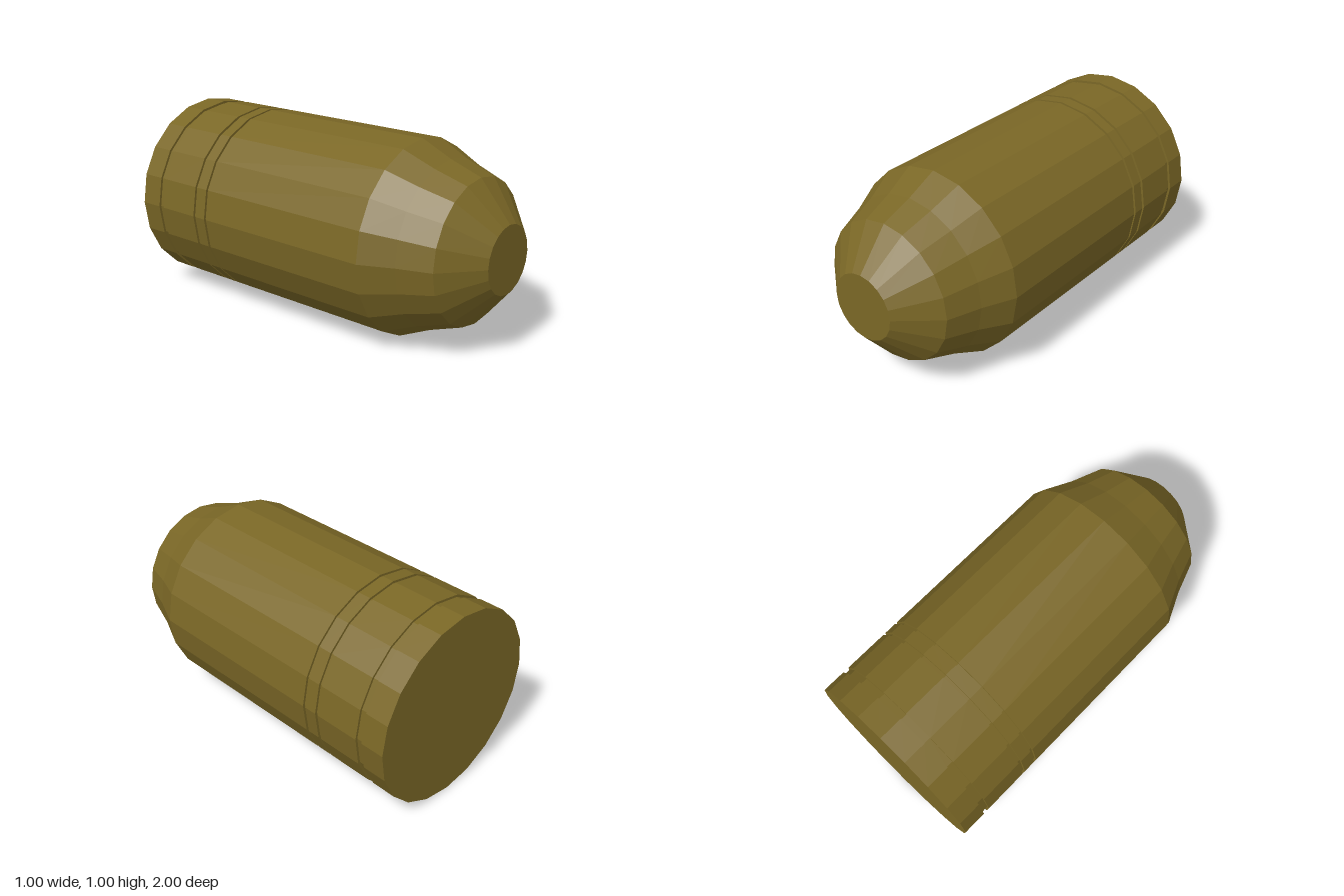
import * as THREE from 'three';

const SIDES = 20;

export function createModel() {
  const group = new THREE.Group();
  group.name = 'bullet';
  const brass = new THREE.MeshStandardMaterial({ color: 0x7a6726, flatShading: true });
  brass.name = 'dark brass';

  // Turns a [radius, z] profile, listed from back to front, around the long axis
  function turned(name, profile) {
    const points = profile.map(([r, z]) => new THREE.Vector2(r, z));
    const geometry = new THREE.LatheGeometry(points, SIDES);
    geometry.rotateX(Math.PI / 2);
    geometry.translate(0, 0.5, 0);
    const mesh = new THREE.Mesh(geometry, brass);
    mesh.name = name;
    group.add(mesh);
  }

  // Bands of the casing between the grooves: [back z, front z]
  const R = 0.5, GROOVE = 0.488;
  const bands = [
    ['rearBand', -1, -0.875],
    ['middleBand', -0.84, -0.602],
    ['narrowBand', -0.585, -0.52],
    ['mainCasing', -0.505, 0.5],
  ];
  bands.forEach(([name, back, front], i) => {
    turned(name, [[R, back], [R, front]]);
    // Square-cut groove up to the next band
    if (i < bands.length - 1) {
      const next = bands[i + 1][1];
      turned('groove', [[R, front], [GROOVE, front], [GROOVE, next], [R, next]]);
    }
  });

  // Faceted nose
  turned('nose', [[R, 0.5], [0.425, 0.665], [0.366, 0.835], [0.172, 1]]);

  // Flat ends
  turned('noseTip', [[0.172, 1], [0, 1]]);
  turned('baseCap', [[0, -1], [R, -1]]);

  return group;
}
